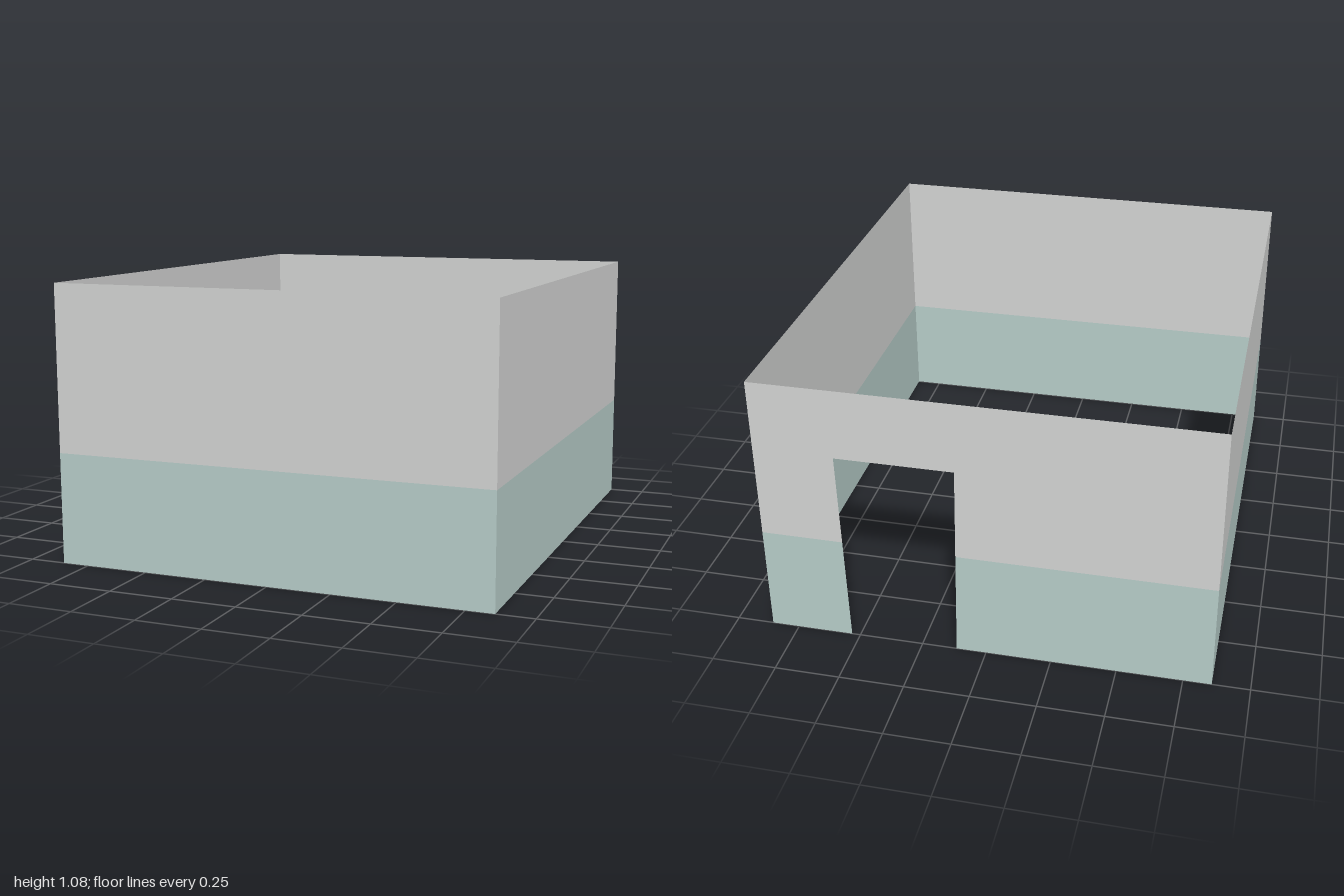
import * as THREE from 'three';

const HALF_X = 0.857, HALF_Z = 1, HEIGHT = 1.075, BAND = 0.43;

// Doorway in the back wall: slightly wider at the top than at the floor
const DOOR = { top: 0.797, outerTop: 0.549, outerBase: 0.533, innerTop: 0.1, innerBase: 0.115 };

const material = (name, color) =>
  new THREE.MeshStandardMaterial({ name, color, side: THREE.DoubleSide });

const rect = (w, y0, y1) => [[-w, y0], [w, y0], [w, y1], [-w, y1]];

export function createModel() {
  const model = new THREE.Group();
  model.name = 'roomWalls';
  const plaster = material('greyPlaster', 0xd2d3d2);
  const dado = material('paleGreenDado', 0xb6ccc8);

  // One thin wall, standing at a distance from the centre and turned outward
  function wall(name, angle, distance, panels) {
    const group = new THREE.Group();
    group.name = name;
    for (const [part, mat, points] of panels) {
      const shape = new THREE.Shape(points.map(([x, y]) => new THREE.Vector2(x, y)));
      const mesh = new THREE.Mesh(new THREE.ShapeGeometry(shape), mat);
      mesh.name = part;
      group.add(mesh);
    }
    group.rotation.y = angle;
    group.position.set(Math.sin(angle) * distance, 0, Math.cos(angle) * distance);
    model.add(group);
  }

  const solid = (w) => [
    ['upperWall', plaster, rect(w, BAND, HEIGHT)],
    ['lowerWall', dado, rect(w, 0, BAND)],
  ];
  wall('frontWall', 0, HALF_Z, solid(HALF_X));
  wall('sideWallPlusX', Math.PI / 2, HALF_X, solid(HALF_Z));
  wall('sideWallMinusX', -Math.PI / 2, HALF_X, solid(HALF_Z));

  // Back wall with the doorway cut out; its local x runs opposite to the model's
  const t = BAND / DOOR.top;
  const outer = -THREE.MathUtils.lerp(DOOR.outerBase, DOOR.outerTop, t);
  const inner = -THREE.MathUtils.lerp(DOOR.innerBase, DOOR.innerTop, t);
  wall('backWall', Math.PI, HALF_Z, [
    ['upperWall', plaster, [
      [-HALF_X, BAND], [outer, BAND], [-DOOR.outerTop, DOOR.top], [-DOOR.innerTop, DOOR.top],
      [inner, BAND], [HALF_X, BAND], [HALF_X, HEIGHT], [-HALF_X, HEIGHT],
    ]],
    ['lowerWallNarrow', dado, [[-HALF_X, 0], [-DOOR.outerBase, 0], [outer, BAND], [-HALF_X, BAND]]],
    ['lowerWallWide', dado, [[-DOOR.innerBase, 0], [HALF_X, 0], [HALF_X, BAND], [inner, BAND]]],
  ]);

  return model;
}
